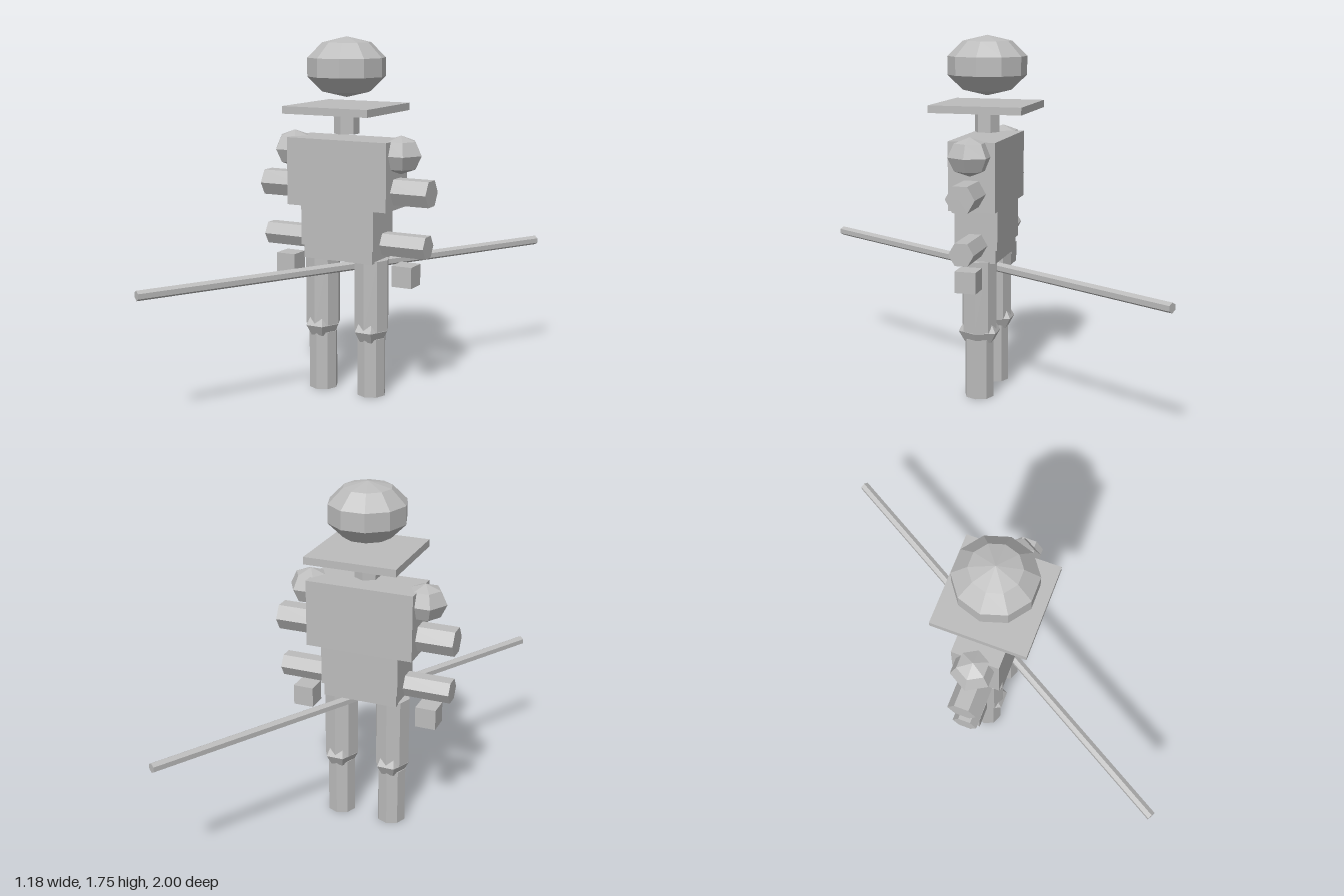
import * as THREE from 'three';

const CX = -0.055; // the body stands slightly to the side of the staff's centre

export function createModel() {
  const model = new THREE.Group();
  model.name = 'figureWithStaff';
  const grey = new THREE.MeshStandardMaterial({ color: 0xbcbcbc, flatShading: true });
  grey.name = 'plainGrey';

  const add = (name, geometry, x, y, z = 0) => {
    const mesh = new THREE.Mesh(geometry, grey);
    mesh.name = name;
    mesh.position.set(x, y, z);
    model.add(mesh);
    return mesh;
  };
  const box = (w, h, d) => new THREE.BoxGeometry(w, h, d);
  const tube = (r, length, sides) => new THREE.CylinderGeometry(r, r, length, sides);
  const ball = (rx, ry, rz, sides, rings) =>
    new THREE.SphereGeometry(1, sides, rings).scale(rx, ry, rz);

  // Head, flat collar and neck
  add('head', ball(0.198, 0.144, 0.202, 10, 5), CX, 1.61);
  add('collarPlate', box(0.452, 0.036, 0.454), CX, 1.413);
  add('neck', tube(0.062, 0.105, 6), CX, 1.343);

  // Stacked trunk
  add('chest', box(0.537, 0.33, 0.23), CX, 1.105);
  add('abdomen', box(0.393, 0.195, 0.212), CX, 0.8425);
  add('pelvis', box(0.373, 0.066, 0.19), CX, 0.712);

  // Arms and legs, mirrored about the body's middle
  for (const [side, s] of [['left', 1], ['right', -1]]) {
    const armX = CX + s * 0.322;
    const legX = CX + s * 0.136;
    add(side + 'Shoulder', ball(0.107, 0.092, 0.107, 6, 4), CX + s * 0.291, 1.204);
    add(side + 'UpperArm', tube(0.071, 0.258, 6).rotateZ(Math.PI / 2), armX, 1.028);
    add(side + 'Forearm', tube(0.061, 0.228, 6).rotateZ(Math.PI / 2), armX, 0.77);
    add(side + 'Hand', box(0.103, 0.103, 0.103), armX, 0.624);
    add(side + 'Thigh', tube(0.087, 0.352, 8), legX, 0.511);
    add(side + 'Knee', ball(0.087, 0.075, 0.107, 6, 4), legX, 0.332);
    add(side + 'Shin', tube(0.072, 0.295, 8), legX, 0.1475);
  }

  // Long staff lying level across the hips
  const staff = add('staff', tube(0.024, 2.282, 6).rotateX(Math.PI / 2), 0, 0.646);
  staff.rotation.y = -Math.PI / 6;

  return model;
}
